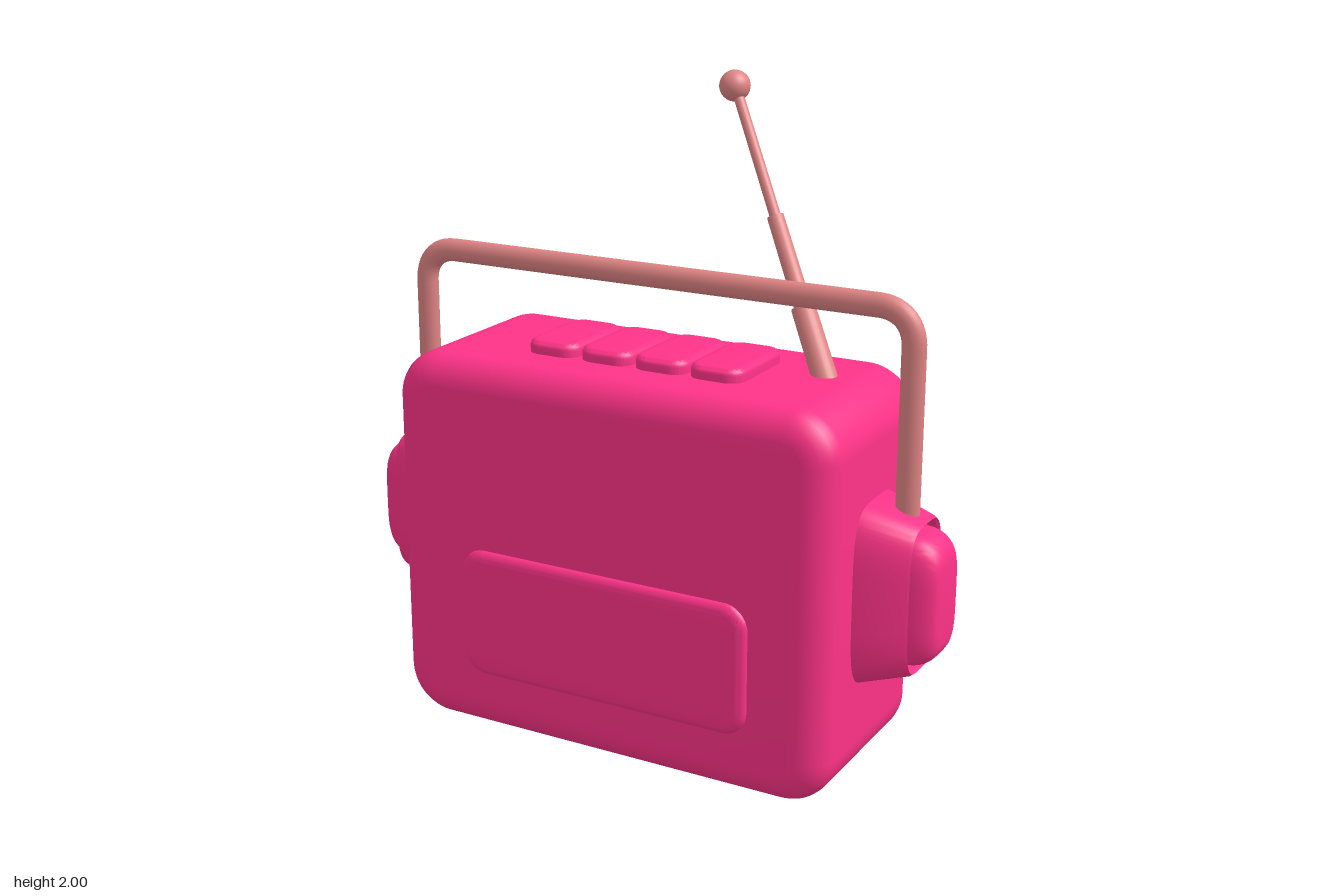
import * as THREE from 'three';
import { toCreasedNormals } from 'three/addons/utils/BufferGeometryUtils.js';

const pink = new THREE.MeshStandardMaterial({ color: 0xff3388 });
const salmon = new THREE.MeshStandardMaterial({ color: 0xe08484 });
const grey = new THREE.MeshStandardMaterial({ color: 0xcccccc, side: THREE.DoubleSide });

function part(parent, name, geometry, material, x = 0, y = 0, z = 0) {
  const mesh = new THREE.Mesh(geometry, material);
  mesh.name = name;
  mesh.position.set(x, y, z);
  parent.add(mesh);
  return mesh;
}

// Extrude a shape along z, centred, with soft edges kept inside its outline
function softExtrude(shape, depth, inset, round) {
  const g = new THREE.ExtrudeGeometry(shape, {
    depth: depth - 2 * round, bevelEnabled: true, bevelThickness: round,
    bevelSize: inset, bevelOffset: -inset, bevelSegments: 6, curveSegments: 8,
  });
  g.translate(0, 0, round - depth / 2);
  return toCreasedNormals(g, 0.7);
}

function slab(w, h, r, depth, inset, round) {
  const s = new THREE.Shape(), x = w / 2, y = h / 2;
  s.moveTo(-x + r, -y);
  s.lineTo(x - r, -y);
  s.absarc(x - r, -y + r, r, -Math.PI / 2, 0);
  s.lineTo(x, y - r);
  s.absarc(x - r, y - r, r, 0, Math.PI / 2);
  s.lineTo(-x + r, y);
  s.absarc(-x + r, y - r, r, Math.PI / 2, Math.PI);
  s.lineTo(-x, -y + r);
  s.absarc(-x + r, -y + r, r, Math.PI, Math.PI * 1.5);
  return softExtrude(s, depth, inset, round);
}

// Skin rounded-rectangle sections [x, halfHeight, halfDepth] along x
function loft(sections, n = 64) {
  const pos = [], index = [];
  const soft = (v) => Math.sign(v) * Math.sqrt(Math.abs(v));
  sections.forEach(([x, hy, hz], i) => {
    for (let j = 0; j < n; j++) {
      const a = (j / n) * Math.PI * 2;
      pos.push(x, hy * soft(Math.cos(a)), hz * soft(Math.sin(a)));
      if (i === 0) continue;
      const k = (j + 1) % n, p = (i - 1) * n, q = i * n;
      index.push(p + j, p + k, q + j, p + k, q + k, q + j);
    }
  });
  const g = new THREE.BufferGeometry();
  g.setAttribute('position', new THREE.Float32BufferAttribute(pos, 3));
  g.setIndex(index);
  return toCreasedNormals(g, 0.7);
}

// Disc with a rounded rim, facing -z
function disc(r, h) {
  const b = h * 0.5;
  const pts = [new THREE.Vector2(r, 0), new THREE.Vector2(r, h - b)];
  for (let i = 1; i <= 5; i++) {
    const a = (i / 5) * Math.PI / 2;
    pts.push(new THREE.Vector2(r - b + b * Math.cos(a), h - b + b * Math.sin(a)));
  }
  pts.push(new THREE.Vector2(0, h));
  return toCreasedNormals(new THREE.LatheGeometry(pts, 48).rotateX(-Math.PI / 2), 0.7);
}

function rod(parent, name, a, b, r0, r1) {
  const dir = b.clone().sub(a);
  const mesh = part(parent, name, new THREE.CylinderGeometry(r1, r0, dir.length(), 24), salmon);
  mesh.position.copy(a).addScaledVector(dir, 0.5);
  mesh.quaternion.setFromUnitVectors(new THREE.Vector3(0, 1, 0), dir.normalize());
}

export function createModel() {
  const model = new THREE.Group();
  model.name = 'radio';

  // Case and raised front cover
  part(model, 'body', slab(1.46, 1.185, 0.15, 0.645, 0.09, 0.08), pink, 0, 0.5925, 0.0225);
  part(model, 'frontCover', slab(0.975, 0.41, 0.08, 0.06, 0.035, 0.025), pink, 0, 0.395, 0.332);

  // Keys on top
  for (let i = 0; i < 4; i++) {
    const key = part(model, 'topKey', slab(0.172, 0.305, 0.05, 0.08, 0.02, 0.02), pink,
      -0.273 + i * 0.182, 1.185, 0.02);
    key.rotation.x = -Math.PI / 2;
  }

  // Side housings: tapered hollow collar with a domed pod inside
  const collar = loft([[0.66, 0.28, 0.165], [0.73, 0.275, 0.157], [0.875, 0.229, 0.123],
    [0.885, 0.222, 0.118], [0.878, 0.214, 0.112], [0.76, 0.20, 0.10]]);
  const podSections = [[0.74, 0.205, 0.108], [0.84, 0.203, 0.107]];
  for (let i = 0; i <= 8; i++) {
    const a = (i / 8) * Math.PI / 2, k = 0.6 + 0.4 * Math.cos(a);
    podSections.push([0.865 + 0.09 * Math.sin(a), 0.198 * k, 0.105 * k]);
  }
  podSections.push([0.957, 0, 0]);
  const pod = loft(podSections);
  for (const [side, turn] of [['left', 0], ['right', Math.PI]]) {
    const housing = new THREE.Group();
    housing.name = side + 'Housing';
    housing.position.set(0, 0.598, 0.025);
    housing.rotation.y = turn;
    part(housing, 'collar', collar, pink);
    part(housing, 'pod', pod, pink);
    model.add(housing);
  }

  // Carrying handle
  const V = (x, y, z = 0) => new THREE.Vector3(x, y, z);
  const path = new THREE.CurvePath();
  path.add(new THREE.LineCurve3(V(-0.82, 0.77), V(-0.82, 1.32)));
  path.add(new THREE.CubicBezierCurve3(V(-0.82, 1.32), V(-0.82, 1.385), V(-0.78, 1.428), V(-0.71, 1.428)));
  path.add(new THREE.LineCurve3(V(-0.71, 1.428), V(0.71, 1.428)));
  path.add(new THREE.CubicBezierCurve3(V(0.71, 1.428), V(0.78, 1.428), V(0.82, 1.385), V(0.82, 1.32)));
  path.add(new THREE.LineCurve3(V(0.82, 1.32), V(0.82, 0.77)));
  const handle = part(model, 'handle', new THREE.TubeGeometry(path, 200, 0.036, 20), salmon, 0, 0, 0.015);
  handle.scale.z = 0.78;

  // Telescopic antenna
  const at = (y) => V(0.525 - 0.55 * (y - 1.18), y, -0.045 - 0.323 * (y - 1.18));
  rod(model, 'antennaLower', at(1.12), at(1.36), 0.038, 0.036);
  rod(model, 'antennaMiddle', at(1.3), at(1.6), 0.027, 0.025);
  rod(model, 'antennaUpper', at(1.55), at(1.95), 0.017, 0.016);
  part(model, 'antennaTip', new THREE.SphereGeometry(0.047, 24, 16), salmon, 0.098, 1.953, -0.295);

  // Dial window
  part(model, 'dialWindow', new THREE.PlaneGeometry(1.3, 0.312).rotateY(Math.PI), grey, 0, 0.701, -0.306);

  // Knobs and stepped speakers
  for (const s of [-1, 1]) {
    part(model, 'knob', disc(0.102, 0.045), salmon, s * 0.525, 0.988, -0.285);
    part(model, 'speakerRim', disc(0.172, 0.04), salmon, s * 0.488, 0.27, -0.285);
    part(model, 'speakerCone', disc(0.13, 0.06), salmon, s * 0.488, 0.27, -0.302);
  }

  // Row of preset buttons
  for (let i = 0; i < 6; i++) {
    part(model, 'presetButton', slab(0.105, 0.17, 0.045, 0.08, 0.04, 0.035), pink,
      -0.3 + i * 0.12, 0.988, -0.295);
  }

  // Shield-shaped centre grille in two halves
  for (const s of [-1, 1]) {
    const half = new THREE.Shape();
    half.moveTo(0.002 * s, 0.105);
    half.bezierCurveTo(0.06 * s, 0.095, 0.1 * s, 0.115, 0.13 * s, 0.17);
    half.bezierCurveTo(0.19 * s, 0.29, 0.215 * s, 0.41, 0.218 * s, 0.51);
    half.bezierCurveTo(0.218 * s, 0.56, 0.19 * s, 0.565, 0.15 * s, 0.572);
    half.bezierCurveTo(0.1 * s, 0.582, 0.06 * s, 0.605, 0.002 * s, 0.595);
    half.closePath();
    part(model, 'grilleHalf', softExtrude(half, 0.07, 0.022, 0.025), salmon, 0, 0, -0.302);
  }

  return model;
}
